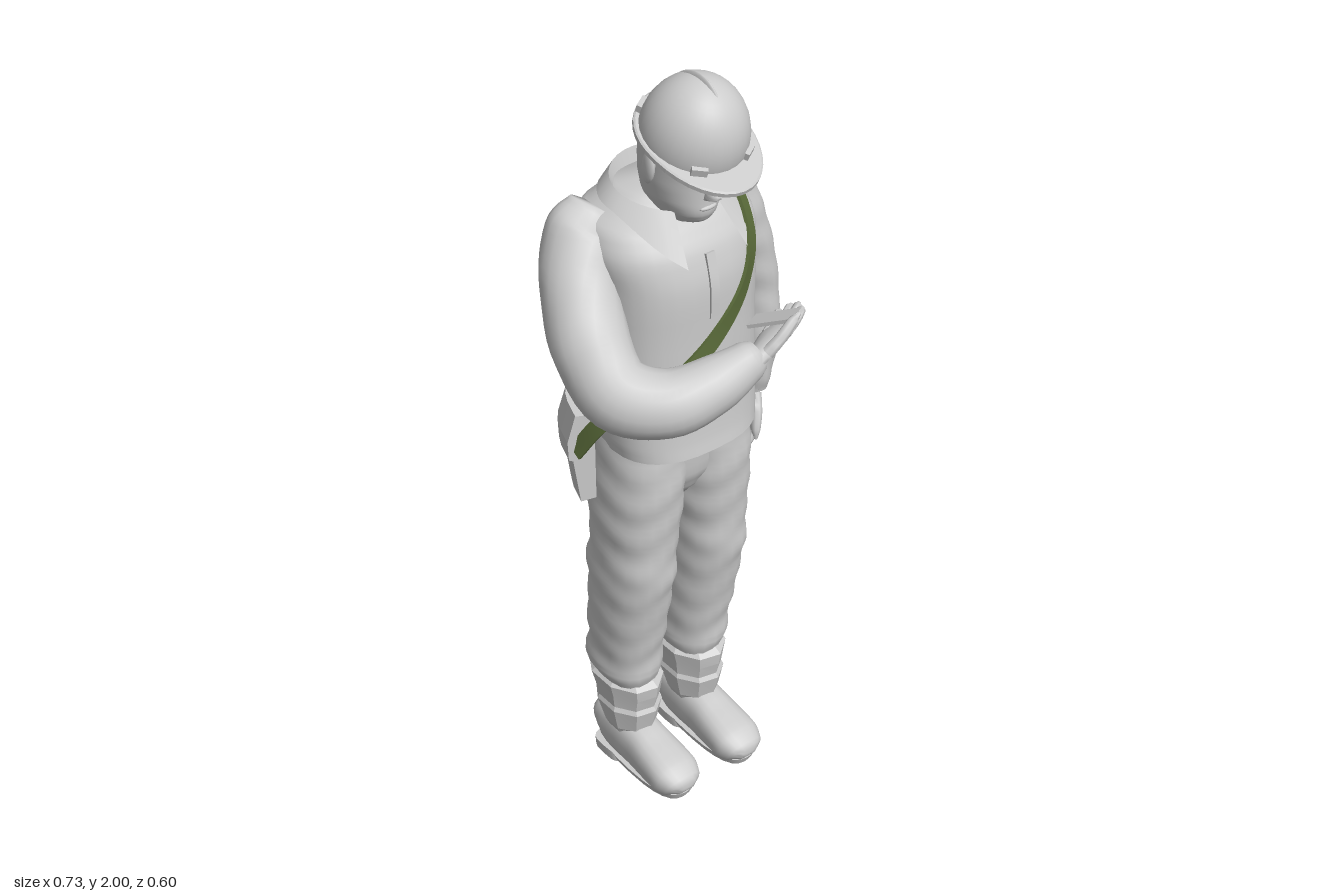
import * as THREE from 'three';
import { toCreasedNormals } from 'three/addons/utils/BufferGeometryUtils.js';

const V = (x, y, z) => new THREE.Vector3(x, y, z);
const X = V(1, 0, 0), Y = V(0, 1, 0);
const grey = new THREE.MeshStandardMaterial({ color: 0xcccccc });
const thin = new THREE.MeshStandardMaterial({ color: 0xcccccc, side: THREE.DoubleSide });
const olive = new THREE.MeshStandardMaterial({ color: 0x5a6b3a });

function add(parent, name, geo, mat = grey, pos = [0, 0, 0], rot = [0, 0, 0], scale = [1, 1, 1]) {
  const m = new THREE.Mesh(geo, mat);
  m.name = name;
  m.position.set(...pos);
  m.rotation.set(...rot);
  m.scale.set(...scale);
  parent.add(m);
  return m;
}

// Skin over rows of points
function surface(rows, closed, crease) {
  const n = rows[0].length, pos = rows.flat().flatMap(p => [p.x, p.y, p.z]), idx = [];
  for (let i = 0; i < rows.length - 1; i++) {
    for (let j = 0; j < (closed ? n : n - 1); j++) {
      const k = (j + 1) % n, a = i * n + j, b = i * n + k, c = b + n, d = a + n;
      idx.push(a, b, d, b, c, d);
    }
  }
  const g = new THREE.BufferGeometry();
  g.setAttribute('position', new THREE.Float32BufferAttribute(pos, 3));
  g.setIndex(idx);
  return toCreasedNormals(g, crease);
}

// Capped loft through sections [x, y, z, ra, rb]; ra lies along ref.
// level: sections stay horizontal and are listed upwards.
function loft(secs, { ref = X, level = false, seg = 20, pow = 2, steps = 4, crease = 1, ripple = 0 } = {}) {
  const path = new THREE.CatmullRomCurve3(secs.map(s => V(s[0], s[1], s[2])));
  const size = new THREE.CatmullRomCurve3(secs.map(s => V(s[3], s[4], 0)), false, 'catmullrom', 0.3);
  const n = (secs.length - 1) * steps, rows = [];
  const box = seg === 4, k = box ? Math.SQRT2 : 1;
  const sup = v => Math.sign(v) * Math.abs(v) ** (2 / pow);
  for (let i = 0; i <= n; i++) {
    const c = path.getPoint(i / n), r = size.getPoint(i / n);
    const t = level ? Y : path.getTangent(i / n);
    const u = (typeof ref === 'function' ? ref(c) : ref).clone();
    u.addScaledVector(t, -u.dot(t)).normalize();
    const v = t.clone().cross(u), row = [];
    for (let j = 0; j < seg; j++) {
      const a = (j + (box ? 0.5 : 0)) / seg * Math.PI * 2;
      const w = k * (1 + ripple * Math.sin(c.y * 62 + 2 * Math.sin(a * 2)));
      row.push(c.clone().addScaledVector(u, r.x * w * sup(Math.cos(a))).addScaledVector(v, r.y * w * sup(Math.sin(a))));
    }
    if (i === 0) rows.push(row.map(() => c));
    rows.push(row);
    if (i === n) rows.push(row.map(() => c));
  }
  return surface(rows, true, crease);
}

// Horizontal sections [y, half width, front z, back z]
const slices = list => list.map(([y, w, f, b]) => [0, y, (f + b) / 2, w, (f - b) / 2]);

// Hand: wrist at origin, fingers down -y, palm facing -x, thumb to +z
function makeHand(name, curl) {
  const g = new THREE.Group();
  g.name = name;
  add(g, 'palm', loft([[0, -.1, 0, .012, .038], [0, -.07, 0, .017, .042], [0, -.03, 0, .019, .034], [0, .03, 0, .022, .026]], { level: true, seg: 12 }));
  for (let i = 0; i < 4; i++) {
    const z = .03 - .02 * i, len = [.07, .085, .08, .06][i];
    add(g, 'finger', loft([[0, -.08, z, .011, .011], [-curl * .3, -.09 - len * .5, z, .0115, .0115],
      [-curl * .8, -.09 - len * .9, z, .01, .01], [-curl, -.09 - len, z, .004, .004]], { seg: 8, steps: 3 }));
  }
  add(g, 'thumb', loft([[0, -.015, .02, .016, .016], [-.015, -.05, .045, .014, .014], [-.028, -.09, .058, .012, .012], [-.032, -.115, .064, .004, .004]], { seg: 8, steps: 3 }));
  return g;
}

function makeHead() {
  const g = new THREE.Group();
  g.name = 'head';
  add(g, 'skull', loft(slices([[1.54, .07, -.01, -.13], [1.635, .068, .0, -.125], [1.65, .052, .062, -.122], [1.675, .068, .08, -.12],
    [1.71, .084, .082, -.118], [1.76, .096, .086, -.115], [1.82, .1, .105, -.112], [1.88, .1, .11, -.1], [1.92, .07, .09, -.06]]), { level: true, seg: 28, crease: 1.3 }));
  add(g, 'nose', loft([[0, 1.716, .08, .016, .014], [0, 1.725, .092, .017, .024], [0, 1.745, .09, .011, .02], [0, 1.78, .082, .008, .012]], { level: true, seg: 10 }));
  add(g, 'mouth', new THREE.SphereGeometry(1, 12, 8), grey, [0, 1.692, .076], [0, 0, 0], [.024, .007, .01]);
  for (const s of [-1, 1]) {
    add(g, 'brow', new THREE.SphereGeometry(1, 10, 6), grey, [s * .038, 1.78, .078], [0, s * .4, -s * .12], [.028, .008, .014]);
    add(g, 'eye', new THREE.SphereGeometry(.012, 10, 8), grey, [s * .035, 1.76, .07]);
    add(g, 'ear', new THREE.SphereGeometry(1, 12, 8), grey, [s * .099, 1.79, -.005], [.2, s * .25, 0], [.012, .042, .025]);
  }
  return g;
}

function makeHelmet() {
  const g = new THREE.Group();
  g.name = 'helmet';
  g.position.set(0, 1.85, .025);
  g.rotation.x = .37;
  add(g, 'dome', new THREE.SphereGeometry(1, 28, 12, 0, Math.PI * 2, 0, Math.PI / 2), thin, [0, 0, 0], [0, 0, 0], [.121, .145, .125]);
  add(g, 'ridge', new THREE.SphereGeometry(1, 16, 24), grey, [0, .008, -.01], [0, 0, 0], [.016, .145, .105]);
  // brim reaches further at the front
  const brim = new THREE.Shape();
  for (let i = 0; i < 36; i++) {
    const a = i / 36 * Math.PI * 2, z = Math.sin(a);
    brim[i ? 'lineTo' : 'moveTo'](.126 * Math.cos(a), z * (z > 0 ? .182 : .134));
  }
  add(g, 'brim', new THREE.ExtrudeGeometry(brim, { depth: .01, bevelEnabled: true, bevelSize: .004, bevelThickness: .003, bevelSegments: 1 }), grey, [0, .004, 0], [Math.PI / 2, 0, 0]);
  for (const s of [-1, 1]) for (const z of [-1, 1])
    add(g, 'clip', new THREE.BoxGeometry(.036, .018, .012), grey, [s * .068, .016, z * .106], [0, s * z * .55, 0]);
  return g;
}

function makeLeg(s) {
  const g = new THREE.Group();
  g.name = s > 0 ? 'leftLeg' : 'rightLeg';
  const side = list => list.map(([x, ...r]) => [x * s, ...r]);
  add(g, 'trouserLeg', loft(side([[.102, .13, -.1, .05, .065], [.102, .27, -.115, .065, .09], [.106, .33, -.118, .083, .108], [.106, .39, -.108, .081, .102],
    [.108, .46, -.1, .086, .108], [.11, .6, -.08, .089, .115], [.11, .67, -.074, .093, .123], [.108, .74, -.067, .092, .115],
    [.104, .85, -.064, .1, .122], [.1, .95, -.06, .1, .126], [.095, 1.08, -.06, .095, .12]]), { level: true, pow: 2.3, ripple: .02, steps: 6 }));
  // faceted gaiter flaring at the top
  const gaiter = [[.115, .056, .06], [.135, .064, .076], [.2, .077, .1], [.212, .072, .094], [.25, .076, .108], [.285, .083, .117], [.298, .07, .1]];
  add(g, 'gaiter', loft(gaiter.map(([y, a, b]) => [s * .102, y, -.085 - y * .11, a, b]), { level: true, seg: 9, steps: 1, crease: .1 }));
  // boot swept from heel to toe, with sole and heel block
  const boot = [[-.19, .062, .042, .045], [-.17, .076, .053, .068], [-.1, .08, .058, .076], [-.04, .074, .058, .07], [.02, .066, .063, .06], [.08, .058, .066, .05], [.115, .048, .053, .038], [.132, .036, .022, .016]];
  add(g, 'boot', loft(boot.map(([z, y, a, b]) => [s * .102, y, z, a, b]), { pow: 2.6, seg: 20 }));
  add(g, 'sole', loft([[s * .102, .008, -.028, .056, .15], [s * .102, .03, -.028, .064, .16]], { level: true, pow: 2.6, seg: 24, steps: 1, crease: .6 }));
  add(g, 'heel', loft([[s * .102, 0, -.137, .06, .055], [s * .102, .03, -.137, .062, .056]], { level: true, pow: 4, steps: 1, crease: .6 }));
  return g;
}

// Turned-down collar, open at the front with two points
function makeCollar() {
  const rows = [[], [], []];
  for (let i = 0; i <= 28; i++) {
    const a = (i / 28 - .5) * 5.3, s = Math.sin(a), c = Math.cos(a), f = Math.max(0, -c) ** 2;
    rows[0].push(V(.09 * s, 1.63, -.085 - .085 * c));
    rows[1].push(V(.122 * s, 1.7 + .022 * c, -.085 - .11 * c + .025 * f));
    rows[2].push(V((.152 + .03 * f) * s, 1.672 + .008 * c - .11 * f, -.085 - .132 * c + .105 * f));
  }
  return surface(rows, false, .6);
}

// Satchel: one tapering profile [outward offset, y] carried round the hip
function makeBag() {
  const path = new THREE.CatmullRomCurve3([[.03, -.272], [-.06, -.256], [-.15, -.208], [-.215, -.145], [-.25, -.06]].map(([x, z]) => V(x, 0, z)));
  const profile = [[-.025, 1.165], [.02, 1.172], [.04, 1.1], [.038, 1.05], [.028, 1.045], [.012, .925], [-.025, .93]];
  const rows = [];
  for (let i = 0; i <= 12; i++) {
    const p = path.getPoint(i / 12), out = path.getTangent(i / 12).cross(Y);
    const row = profile.map(([o, y]) => V(p.x, y, p.z).addScaledVector(out, o));
    const cap = row.map(() => V(p.x, 1.05, p.z));
    if (i === 0) rows.push(cap);
    rows.push(row);
    if (i === 12) rows.push(cap);
  }
  return surface(rows, true, .3);
}

export function createModel() {
  const g = new THREE.Group();
  g.name = 'worker';
  g.add(makeHead(), makeHelmet(), makeLeg(1), makeLeg(-1));
  add(g, 'pelvis', loft(slices([[.86, .03, -.01, -.12], [.9, .1, .02, -.16], [.95, .16, .042, -.175], [1.08, .18, .055, -.178]]), { level: true, pow: 2.4, crease: 1.3 }));

  // Jacket
  add(g, 'jacket', loft(slices([[1.06, .19, .112, -.182], [1.1, .196, .106, -.186], [1.2, .2, .1, -.2], [1.35, .2, .1, -.228], [1.5, .203, .1, -.243],
    [1.58, .212, .08, -.243], [1.635, .195, .042, -.23], [1.668, .14, -.005, -.205], [1.69, .095, -.03, -.18]]), { level: true, pow: 2.5, seg: 32, crease: 1.3 }));
  add(g, 'placket', loft([[0, 1.42, .101, .012, .004], [0, 1.5, .101, .012, .004], [0, 1.58, .083, .012, .004]], { seg: 4, crease: .5 }));
  add(g, 'collar', makeCollar(), thin);

  // Hanging left arm and bent right arm
  add(g, 'leftSleeve', loft([[.15, 1.655, -.13, .035, .06], [.185, 1.6, -.13, .075, .092], [.222, 1.5, -.128, .088, .093], [.262, 1.4, -.124, .077, .083],
    [.292, 1.28, -.122, .067, .075], [.298, 1.15, -.113, .057, .07], [.292, 1.04, -.11, .045, .056], [.29, 1.0, -.11, .037, .046]], { ripple: .02, steps: 6, crease: 1.3 }));
  add(g, 'rightSleeve', loft([[-.15, 1.655, -.13, .035, .06], [-.185, 1.6, -.128, .075, .09], [-.235, 1.5, -.08, .087, .09], [-.274, 1.4, .015, .086, .09],
    [-.276, 1.335, .11, .08, .088], [-.2, 1.32, .187, .074, .078], [-.1, 1.345, .222, .064, .067], [-.01, 1.378, .235, .045, .048], [.01, 1.384, .236, .036, .038]], { ref: V(-1, 0, 1), ripple: .015, steps: 6, crease: 1.3 }));
  const left = makeHand('leftHand', .05);
  left.position.set(.29, .995, -.11);
  // right palm faces up and towards the face
  const right = makeHand('rightHand', .012);
  const d = V(.95, .25, -.3).normalize(), look = V(0, 1, -.42);
  const up = look.clone().addScaledVector(d, -d.dot(look)).normalize();
  right.applyMatrix4(new THREE.Matrix4().makeBasis(up.clone().negate(), d.clone().negate(), d.clone().cross(up)).setPosition(.005, 1.385, .245));
  g.add(left, right);
  const phone = add(g, 'phone', new THREE.BoxGeometry(.052, .009, .12), grey, [.088, 1.434, .205]);
  phone.rotation.set(-.42, .44, 0, 'YXZ');

  // Shoulder bag, with its strap lying over the left shoulder
  add(g, 'bag', makeBag());
  const strap = [[.03, 1.13, -.285], [.075, 1.35, -.262], [.118, 1.52, -.242], [.136, 1.63, -.21], [.138, 1.695, -.1], [.138, 1.665, .005], [.122, 1.57, .08],
    [.08, 1.47, .106], [0, 1.38, .116], [-.1, 1.3, .106], [-.18, 1.24, .062], [-.235, 1.17, -.01], [-.27, 1.07, -.07]];
  add(g, 'strap', loft(strap.map(p => [...p, .004, .02]), { ref: p => V(p.x, p.y - Math.min(p.y, 1.5), p.z + .08), seg: 4, steps: 6, crease: .5 }), olive);
  return g;
}
